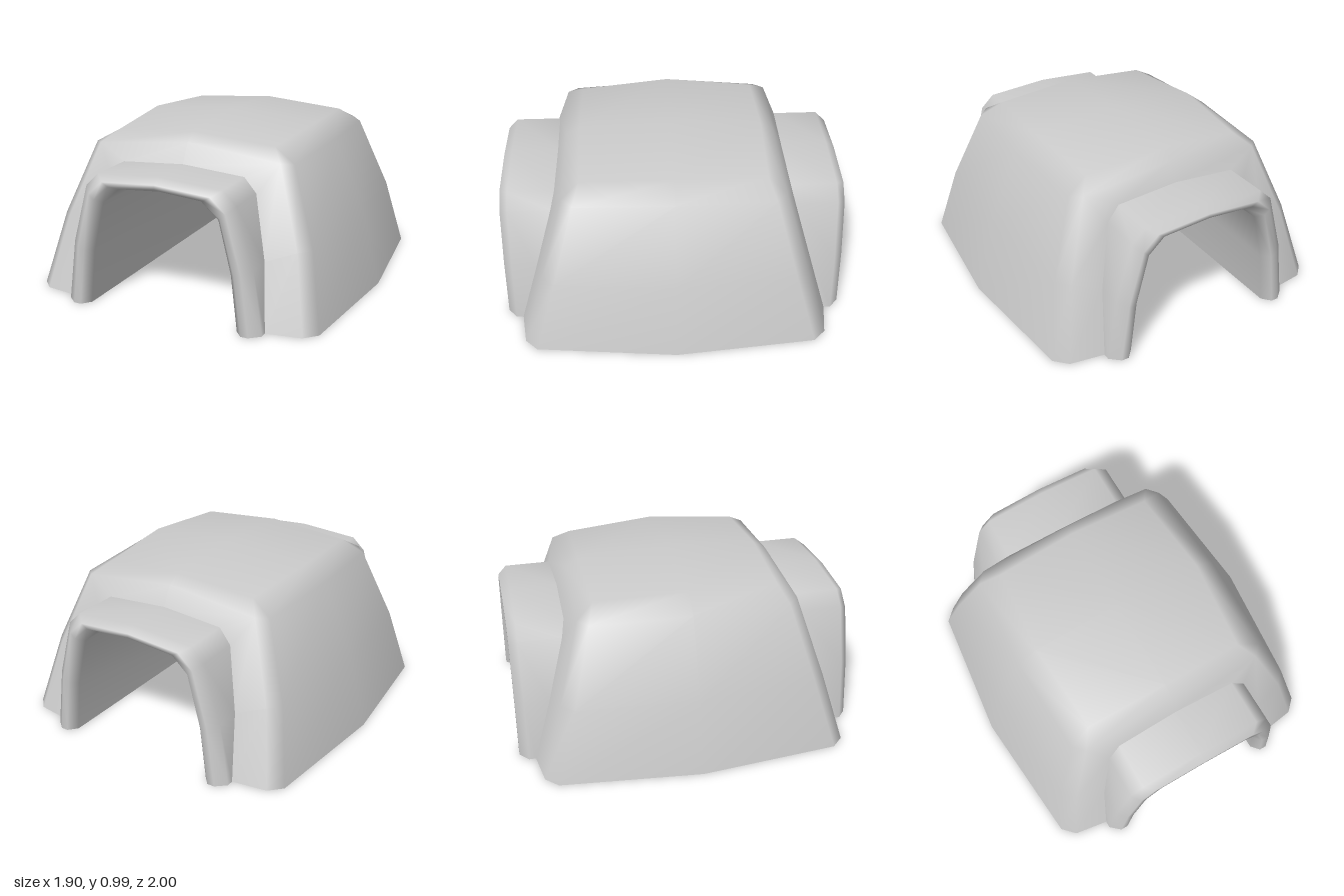
import * as THREE from 'three';
import { mergeVertices } from 'three/addons/utils/BufferGeometryUtils.js';

const material = new THREE.MeshStandardMaterial({ color: 0xcccccc, side: THREE.DoubleSide });

// Welds a triangle soup and gives it smooth, area-weighted normals.
function smoothMesh(points, name) {
  const soup = new THREE.BufferGeometry();
  soup.setAttribute('position', new THREE.Float32BufferAttribute(points.flat(), 3));
  const geometry = mergeVertices(soup, 1e-4);
  geometry.computeVertexNormals();
  const mesh = new THREE.Mesh(geometry, material);
  mesh.name = name;
  return mesh;
}

// Half arch outlines [x, y], from the foot to the crown.
const archOuter = [[0.6, 0], [0.55, 0.36], [0.455, 0.7], [0.375, 0.775], [0, 0.8]];
const archInner = [[0.455, 0], [0.42, 0.32], [0.35, 0.61], [0.25, 0.7], [0, 0.72]];

// Depth of the sloping end wall at a height.
const wallZ = (y) => 0.91 - 0.295 * y;

function createShell() {
  // One quarter of the tapered shell, as columns of points going up.
  const side = [[0.95, 0, 0], [0.84, 0.43, 0], [0.655, 0.86, 0], [0.535, 0.95, 0]];
  const corner = [[0.87, 0, 0.81], [0.78, 0.42, 0.69], [0.62, 0.845, 0.57], [0.49, 0.92, 0.53]];
  const end = [[0.8, 0, 0.88], [0.715, 0.42, 0.76], [0.56, 0.855, 0.63]];
  const brow = [0, 0.91, 0.617], crown = [0, 0.957, 0.54], peak = [0, 0.99, 0];
  const hole = archOuter.map(([x, y]) => [x, y, wallZ(y)]);

  const faces = [];
  for (let i = 0; i < 3; i++) faces.push([corner[i], side[i], side[i + 1], corner[i + 1]]);
  for (let i = 0; i < 2; i++) {
    faces.push([end[i], corner[i], corner[i + 1], end[i + 1]]);
    faces.push([hole[i], end[i], end[i + 1], hole[i + 1]]);
  }
  faces.push(
    [end[2], corner[2], corner[3]],
    [brow, end[2], corner[3], crown],
    [hole[3], hole[2], end[2]],
    [hole[4], hole[3], end[2], brow],
    [peak, crown, corner[3], side[3]],
  );

  // Mirror the quarter to all four sides.
  const points = [];
  for (const sx of [1, -1]) for (const sz of [1, -1]) {
    for (const face of faces) {
      const f = face.map(([x, y, z]) => [x * sx, y, z * sz]);
      if (sx * sz < 0) f.reverse();
      for (let k = 1; k < f.length - 1; k++) points.push(f[0], f[k], f[k + 1]);
    }
  }
  return smoothMesh(points, 'outerShell');
}

function createTunnel() {
  // A full arch at mix t between outer and inner outline, at depth z(y).
  const ring = (t, z) => {
    const half = archOuter.map(([x, y], i) => {
      const py = y + (archInner[i][1] - y) * t;
      return [x + (archInner[i][0] - x) * t, py, z(py)];
    });
    return [...half, ...half.slice(0, -1).reverse().map(([x, y, q]) => [-x, y, q])];
  };
  // Porch with rounded rim, lining through the body, then the other porch.
  const front = [
    ring(0, wallZ), ring(0, () => 0.95), ring(0.4, () => 1),
    ring(0.7, () => 1), ring(1, () => 0.95),
  ];
  const back = front.map((r) => r.map(([x, y, z]) => [x, y, -z])).reverse();
  const rings = [...front, ...back];

  const points = [];
  for (let v = 0; v < rings.length - 1; v++) {
    for (let u = 0; u < rings[v].length - 1; u++) {
      const a = rings[v][u], b = rings[v][u + 1];
      const c = rings[v + 1][u + 1], d = rings[v + 1][u];
      points.push(a, b, c, a, c, d);
    }
  }
  return smoothMesh(points, 'tunnelAndPorches');
}

export function createModel() {
  const group = new THREE.Group();
  group.name = 'shelter';
  group.add(createShell(), createTunnel());
  return group;
}
